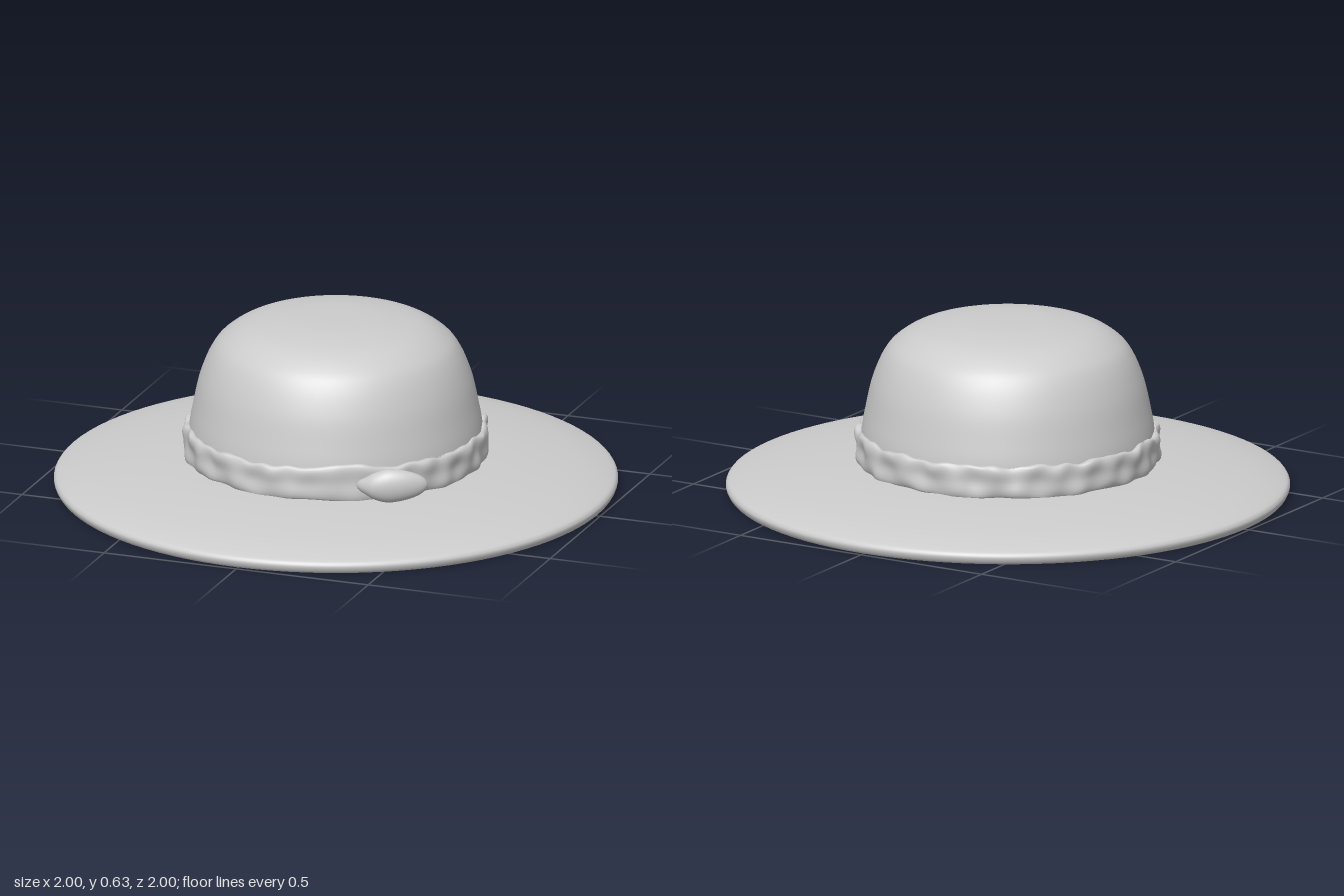
import * as THREE from 'three';
import { mergeVertices } from 'three/addons/utils/BufferGeometryUtils.js';

const V2 = (p) => new THREE.Vector2(p[0], p[1]);
const V3 = (p) => new THREE.Vector3(...p);

// Smooth revolved surface through a few profile points
function revolve(points, samples, segments = 96) {
  const curve = new THREE.SplineCurve(points.map(V2));
  const profile = curve.getPoints(samples);
  profile.forEach((p) => { p.x = Math.max(p.x, 0); p.y = Math.max(p.y, 0); });
  return new THREE.LatheGeometry(profile, segments);
}

// Move every vertex by a rule, weld the seam and smooth the normals
function reshape(geometry, rule) {
  const pos = geometry.attributes.position;
  const v = new THREE.Vector3();
  for (let i = 0; i < pos.count; i++) {
    rule(v.fromBufferAttribute(pos, i));
    pos.setXYZ(i, v.x, v.y, v.z);
  }
  geometry.deleteAttribute('uv');
  geometry.deleteAttribute('normal');
  const welded = mergeVertices(geometry, 1e-5);
  welded.computeVertexNormals();
  return welded;
}

export function createModel() {
  const group = new THREE.Group();
  group.name = 'brimmedHat';
  const felt = new THREE.MeshStandardMaterial({ color: 0xcccccc });
  felt.name = 'greyFelt';
  const add = (name, geometry) => {
    const mesh = new THREE.Mesh(geometry, felt);
    mesh.name = name;
    group.add(mesh);
  };

  // Crown: rounded dome with nearly upright sides
  add('crown', revolve([
    [0.525, 0.1], [0.52, 0.22], [0.505, 0.31], [0.482, 0.41], [0.445, 0.5],
    [0.4, 0.555], [0.32, 0.6], [0.2, 0.623], [0.1, 0.63], [0, 0.631],
  ], 60));

  // Brim: gently sloping disc with a rounded rim
  add('brim', revolve([
    [0.52, 0.078], [0.7, 0.058], [0.85, 0.032], [0.95, 0.006], [0.983, 0.001],
    [0.997, 0.015], [0.998, 0.034], [0.975, 0.05], [0.88, 0.075],
    [0.75, 0.096], [0.62, 0.111], [0.5, 0.12],
  ], 70));

  // Shallow padded base beneath the crown
  add('crownBase', revolve([
    [0, 0.04], [0.25, 0.039], [0.42, 0.035], [0.49, 0.037], [0.525, 0.052], [0.54, 0.085],
  ], 30));

  // Gathered cloth band with a ruffled upper edge
  const band = revolve([
    [0.505, 0.118], [0.53, 0.116], [0.538, 0.14], [0.535, 0.175],
    [0.539, 0.21], [0.533, 0.23], [0.518, 0.232], [0.5, 0.222],
  ], 20, 240);
  add('band', reshape(band, (v) => {
    const a = Math.atan2(v.x, v.z);
    const up = (v.y - 0.116) / 0.116;
    const ruffle = 0.45 * Math.sin(13 * a + 1) + 0.35 * Math.sin(22 * a + 2.3 * Math.sin(3 * a))
      + 0.25 * Math.sin(37 * a + 0.7);
    const calm = 1 - 0.75 * Math.exp(-(((a - 0.3) / 0.4) ** 2));
    const swell = 0.018 * Math.exp(-(((a - 0.42) / 0.2) ** 2));
    const fold = 0.004 * Math.sin(17 * a + 4 * up) + 0.003 * Math.sin(29 * a - 3 * up);
    const r = Math.hypot(v.x, v.z);
    const k = (r + (r > 0.525 ? fold * calm : 0)) / r;
    v.set(v.x * k, v.y + up * (0.009 * ruffle * calm + swell) + (1 - up) * 0.004 * Math.sin(9 * a), v.z * k);
  }));

  // Knot: a swollen cloth end, narrow where it leaves the band
  const spine = new THREE.CatmullRomCurve3([
    [0.262, 0.183, 0.487], [0.32, 0.187, 0.492], [0.41, 0.191, 0.462], [0.503, 0.19, 0.412],
  ].map(V3));
  const outward = V3([0.4, 0, 0.916]);
  add('bandKnot', reshape(new THREE.SphereGeometry(1, 40, 40), (v) => {
    const t = v.y;
    const full = THREE.MathUtils.smoothstep(t, -0.75, 0.2);
    const height = -v.x * (0.035 + 0.027 * full);
    const depth = v.z * (0.036 + 0.004 * full);
    const c = spine.getPoint((t + 1) / 2);
    v.copy(c).addScaledVector(outward, depth);
    v.y += height;
  }));

  return group;
}
